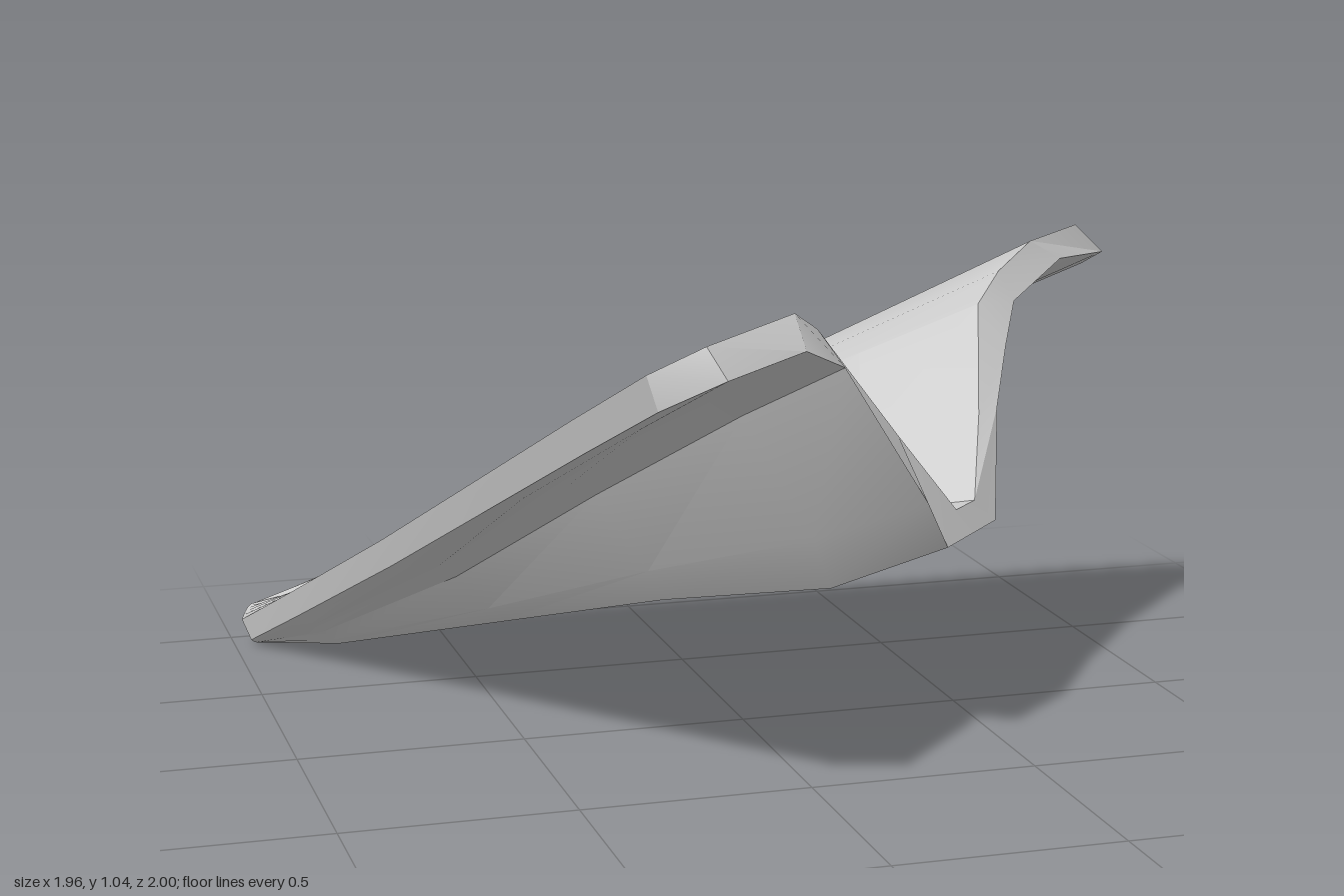
import * as THREE from 'three';
import { toCreasedNormals } from 'three/addons/utils/BufferGeometryUtils.js';

// Trailing edge from the left wing tip, down through the keel, to the right wing tip
const upperEdge = [
  [-0.46, 0.98, 0.90], [-0.36, 1.04, 0.96], [-0.08, 1.03, 0.62], [0.02, 0.965, 0.46],
  [0.20, 0.73, 0.45], [0.35, 0.55, 0.40], [0.41, 0.555, 0.35], [0.47, 0.71, 0.21],
  [0.51, 0.93, 0.09], [0.58, 0.99, 0.03], [0.71, 1.03, -0.11], [0.89, 1.035, -0.28], [0.95, 1.0, -0.39],
];
const lowerEdge = [
  [-0.44, 0.91, 0.91], [-0.33, 0.98, 1.0], [-0.10, 0.98, 0.76], [0.05, 0.90, 0.55],
  [0.24, 0.60, 0.53], [0.31, 0.485, 0.46], [0.47, 0.50, 0.32], [0.52, 0.72, 0.19],
  [0.565, 0.84, 0.12], [0.61, 0.925, 0.05], [0.80, 0.98, -0.15], [0.98, 0.96, -0.33], [0.96, 0.92, -0.41],
];
const N = upperEdge.length;

// Stations from nose to tail: keel sag, how far the folds flatten (under left, under right,
// left top), rise of the valley floor, bulge of the right edge and pinch of the left edge
const stations = [
  { s: 0, sag: 0, underL: 0, underR: 0, top: 0, floor: 0, bulge: 0, pinch: 0 },
  { s: 0.13, sag: 0.03, underL: 0.9, underR: 0.9, top: 0.6, floor: 0.01, bulge: 0, pinch: 0.01 },
  { s: 0.38, sag: 0.03, underL: 0.5, underR: 0.75, top: 0.6, floor: 0.03, bulge: 0.015, pinch: 0.02 },
  { s: 0.62, sag: 0.03, underL: 0.12, underR: 0.35, top: 0.25, floor: 0.025, bulge: 0.025, pinch: 0.01 },
  { s: 0.85, sag: 0.055, underL: 0, underR: 0.08, top: 0, floor: 0.01, bulge: 0.03, pinch: 0 },
  { s: 1, sag: 0, underL: 0, underR: 0, top: 0, floor: 0, bulge: 0, pinch: 0 },
];

// Pull the heights between two points of a row toward the straight line joining them
function flatten(row, from, to, amount) {
  const across = p => p.x - p.z;
  const a = row[from], b = row[to];
  for (let i = from + 1; i < to; i++) {
    const t = (across(row[i]) - across(a)) / (across(b) - across(a));
    row[i].y += amount * (a.y + (b.y - a.y) * t - row[i].y);
  }
}

// Closed cross-section at one station: upper skin, then lower skin back again
function section({ s, sag, underL, underR, top, floor, bulge, pinch }) {
  const upper = [], lower = [];
  for (let i = 0; i < N; i++) {
    const u = (i / (N - 1)) * 2 - 1;
    const round = 1 - u * u;
    const noseTop = new THREE.Vector3(-0.95 + 0.03 * u, 0.06 + 0.03 * round, -0.97 - 0.03 * u);
    const noseBottom = new THREE.Vector3(-0.935 + 0.028 * u, 0.015 * (1 - round), -0.94 - 0.028 * u);
    const p = noseTop.lerp(new THREE.Vector3(...upperEdge[i]), s);
    const q = noseBottom.lerp(new THREE.Vector3(...lowerEdge[i]), s);
    const keel = Math.max(0, 1 - Math.max(0, Math.abs(i - 5.5) - 0.5) / 2);
    q.y = Math.max(0, q.y - sag * keel);
    if (i === 5 || i === 6) p.y += floor;
    for (const v of [p, q]) {
      if (i >= N - 2) v.z -= bulge;
      if (i < 2) v.x += pinch;
    }
    upper.push(p);
    lower.push(q);
  }
  flatten(upper, 0, 5, top);
  flatten(lower, 0, 5, underL);
  flatten(lower, 6, N - 1, underR);
  return [...upper, ...lower.reverse()];
}

function foldedBody() {
  const ring = 2 * N;
  const positions = stations.flatMap(st => section(st).flatMap(p => p.toArray()));
  const index = [];
  const quad = (a, b, c, d) => index.push(a, b, c, a, c, d);
  // Skins and side edges
  for (let k = 0; k < stations.length - 1; k++) {
    for (let i = 0; i < ring; i++) {
      const a = k * ring + i, b = k * ring + (i + 1) % ring;
      quad(a, a + ring, b + ring, b);
    }
  }
  // Tail and nose faces
  const tail = (stations.length - 1) * ring;
  for (let i = 0; i < N - 1; i++) {
    const lo = ring - 1 - i;
    quad(tail + i, tail + lo, tail + lo - 1, tail + i + 1);
    quad(i, i + 1, lo - 1, lo);
  }
  const geometry = new THREE.BufferGeometry();
  geometry.setAttribute('position', new THREE.Float32BufferAttribute(positions, 3));
  geometry.setIndex(index);
  return toCreasedNormals(geometry, 0.35);
}

export function createModel() {
  const group = new THREE.Group();
  group.name = 'foldedGlider';
  const body = new THREE.Mesh(
    foldedBody(),
    new THREE.MeshStandardMaterial({ color: 0xcccccc }),
  );
  body.name = 'foldedWings';
  group.add(body);
  return group;
}
